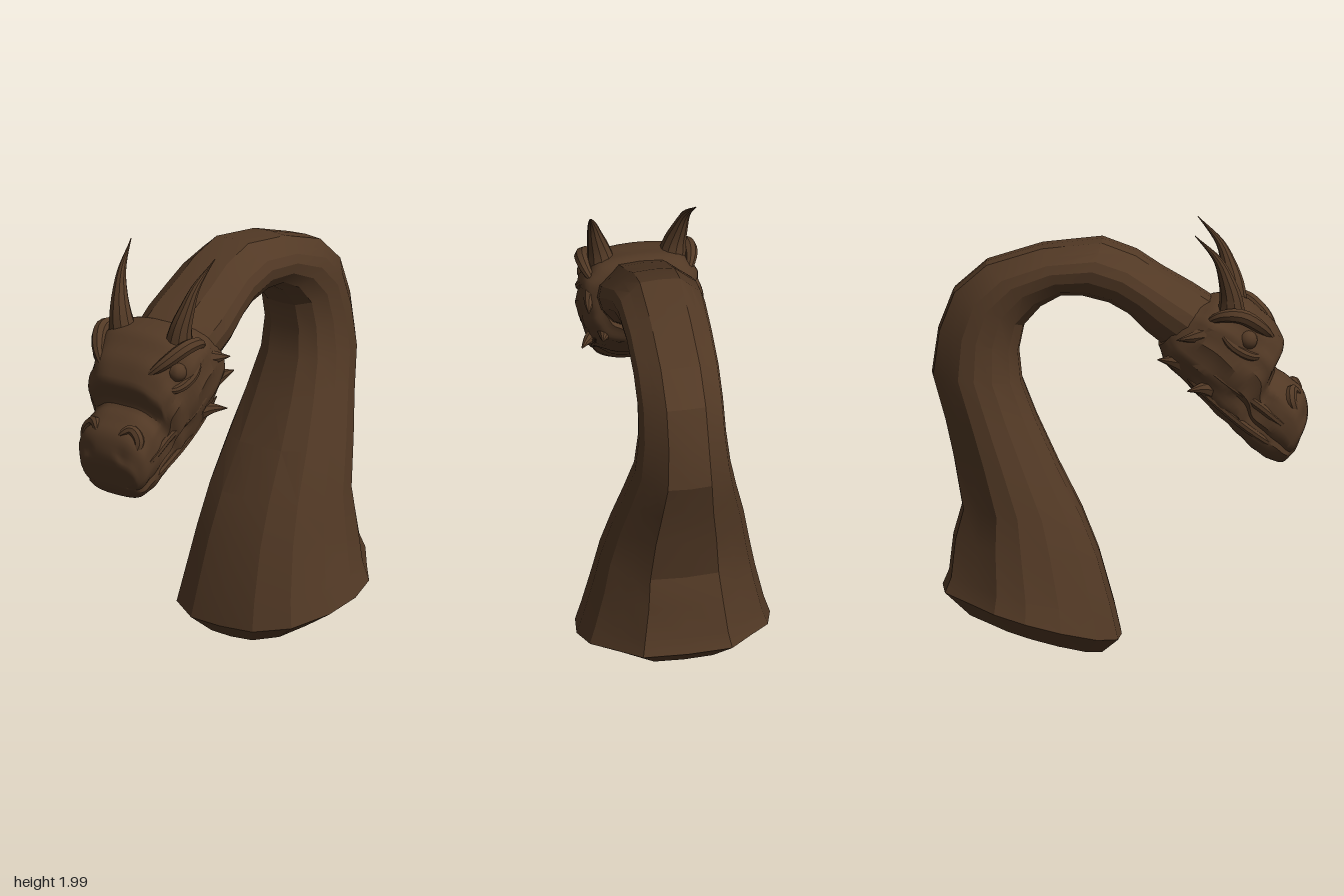
import * as THREE from 'three';
import { toCreasedNormals } from 'three/addons/utils/BufferGeometryUtils.js';

const hide = new THREE.MeshStandardMaterial({ color: 0x523925 });
hide.name = 'brown hide';

// Section rows: [inner z, inner y, outer z, outer y, half width]
const NECK = [
  [-0.07, 0.01, -0.70, 0.19, 0.30], [0.01, 0.08, -0.82, 0.31, 0.455], [-0.02, 0.21, -0.79, 0.38, 0.425],
  [-0.09, 0.46, -0.77, 0.55, 0.38], [-0.17, 0.66, -0.73, 0.69, 0.35], [-0.28, 0.88, -0.77, 0.92, 0.31],
  [-0.38, 1.10, -0.81, 1.10, 0.265], [-0.45, 1.28, -0.87, 1.31, 0.225], [-0.465, 1.42, -0.84, 1.52, 0.205],
  [-0.44, 1.54, -0.77, 1.70, 0.20], [-0.36, 1.63, -0.62, 1.83, 0.20], [-0.27, 1.68, -0.36, 1.91, 0.20],
  [-0.17, 1.68, -0.08, 1.94, 0.205], [-0.05, 1.65, 0.08, 1.88, 0.21], [0.04, 1.60, 0.20, 1.80, 0.22],
  [0.12, 1.52, 0.34, 1.72, 0.23], [0.22, 1.44, 0.45, 1.65, 0.22],
];
const HEAD = [
  [0.18, 1.45, 0.38, 1.66, 0.20], [0.21, 1.37, 0.48, 1.67, 0.26], [0.32, 1.26, 0.60, 1.64, 0.285],
  [0.42, 1.15, 0.70, 1.55, 0.275], [0.50, 1.08, 0.76, 1.45, 0.245], [0.56, 1.02, 0.72, 1.33, 0.21],
  [0.62, 0.96, 0.79, 1.28, 0.205], [0.68, 0.92, 0.86, 1.20, 0.195], [0.75, 0.90, 0.87, 1.10, 0.165],
  [0.81, 0.95, 0.84, 1.02, 0.10],
];
// Half outlines [across, inner to outer]; the neck has a raised flat ridge along its back
const NECK_HALF = [[0, -1], [0.4, -0.97], [0.75, -0.75], [0.95, -0.35], [1, 0.05], [0.92, 0.4], [0.7, 0.66], [0.46, 0.96], [0, 1]];
const HEAD_HALF = Array.from({ length: 25 }, (_, i) => {
  const a = (i / 24) * Math.PI, p = (n) => Math.sign(n) * Math.abs(n) ** 0.72;
  return [i % 24 ? p(Math.sin(a)) : 0, -p(Math.cos(a))];
});

// Smoothly resample the section rows
function resample(rows, n) {
  const curve = (a, b, c) => new THREE.CatmullRomCurve3(rows.map((r) => new THREE.Vector3(r[a], r[b], c < 0 ? 0 : r[c])));
  const inner = curve(0, 1, -1), outer = curve(2, 3, 4);
  return Array.from({ length: n + 1 }, (_, i) => {
    const p = inner.getPoint(i / n), q = outer.getPoint(i / n);
    return [p.x, p.y, q.x, q.y, q.z];
  });
}

// Skin a mirrored half outline over the rows; swell(t, u, v) scales each point from its centre
function loft(rows, half, swell = () => 1) {
  const ring = [...half, ...half.slice(1, -1).reverse().map(([u, v]) => [-u, v])];
  const n = ring.length, pos = [], index = [];
  rows.forEach(([zi, yi, zo, yo, w], i) => {
    for (const [u, v] of ring) {
      const s = swell(i / (rows.length - 1), Math.abs(u), v);
      pos.push(u * w * s, (yi + yo) / 2 + ((yo - yi) / 2) * v * s, (zi + zo) / 2 + ((zo - zi) / 2) * v * s);
    }
  });
  for (let i = 0; i < rows.length - 1; i++) {
    for (let j = 0; j < n; j++) {
      const a = i * n + j, b = i * n + ((j + 1) % n);
      index.push(a, b, a + n, b, b + n, a + n);
    }
  }
  const last = (rows.length - 1) * n, c = pos.length / 3;
  for (const [zi, yi, zo, yo] of [rows[0], rows[rows.length - 1]]) pos.push(0, (yi + yo) / 2, (zi + zo) / 2);
  for (let j = 0; j < n; j++) {
    const k = (j + 1) % n;
    index.push(c, k, j, c + 1, last + j, last + k);
  }
  const g = new THREE.BufferGeometry();
  g.setAttribute('position', new THREE.Float32BufferAttribute(pos, 3));
  g.setIndex(index);
  g.computeVertexNormals();
  return g;
}

// Tube along points with a radius that varies from start to end
function taper(points, radius, sides = 8, steps = 14) {
  const curve = new THREE.CatmullRomCurve3(points.map((p) => new THREE.Vector3(...p)));
  const g = new THREE.TubeGeometry(curve, steps, 1, sides);
  const pos = g.attributes.position, p = new THREE.Vector3();
  for (let i = 0; i < pos.count; i++) {
    const t = Math.floor(i / (sides + 1)) / steps, c = curve.getPointAt(t);
    p.fromBufferAttribute(pos, i).sub(c).multiplyScalar(radius(t)).add(c);
    pos.setXYZ(i, p.x, p.y, p.z);
  }
  g.computeVertexNormals();
  return g;
}

export function createModel() {
  const model = new THREE.Group();
  const add = (name, geometry, crease = 0.5) => {
    const mesh = new THREE.Mesh(toCreasedNormals(geometry, crease), hide);
    mesh.name = name;
    model.add(mesh);
    return mesh;
  };
  const bump = (x, c, w) => Math.exp(-(((x - c) / w) ** 2));

  add('neck', loft(NECK, NECK_HALF), 0.35);

  // Head with eye sockets, mouth slit, nostrils and wrinkled cheeks
  add('head', loft(resample(HEAD, 45), HEAD_HALF, (t, u, v) => {
    const side = Math.min(1, u * 1.3);
    return 1 - 0.1 * bump(t, 0.33, 0.09) * bump(v, 0.5, 0.22) * side
      - 0.1 * bump(v, -0.35, 0.1) * Math.min(1, t * 2) * side
      - 0.12 * bump(t, 0.84, 0.035) * bump(u, 0.6, 0.2) * (v > 0.5 ? 1 : 0)
      + 0.03 * Math.sin(v * 15 + Math.sin(t * 9) * 1.5) * side * bump(t, 0.35, 0.4)
      + 0.015 * Math.sin(t * 48 + v * 4) * (v > 0 ? 1 : 0.6);
  }), 0.6);

  for (const s of [1, -1]) {
    const label = s > 0 ? 'left' : 'right';
    const side = (name, pts, r, sides) => add(label + name, taper(pts.map(([x, y, z]) => [x * s, y, z]), r, sides));
    const ridge = (r) => (t) => 0.003 + r * Math.sin(Math.PI * t) ** 0.6;

    // Swept horn with a broad root
    side('Horn', [[0.165, 1.60, 0.52], [0.18, 1.69, 0.52], [0.20, 1.78, 0.50], [0.22, 1.88, 0.46], [0.25, 2.0, 0.355]],
      (t) => 0.002 + 0.068 * (1 - t) ** 1.25, 10);
    // Brow, lower lid and lips
    side('Brow', [[0.13, 1.49, 0.72], [0.20, 1.56, 0.66], [0.25, 1.62, 0.57], [0.25, 1.62, 0.48], [0.22, 1.58, 0.40]], ridge(0.032));
    side('LowerLid', [[0.19, 1.43, 0.69], [0.24, 1.43, 0.62], [0.265, 1.48, 0.53], [0.26, 1.55, 0.47]], ridge(0.02));
    side('UpperLip', [[0.10, 1.03, 0.84], [0.175, 1.09, 0.77], [0.205, 1.20, 0.64], [0.25, 1.30, 0.51], [0.26, 1.40, 0.38]], ridge(0.02));
    side('LowerLip', [[0.08, 0.96, 0.80], [0.155, 0.99, 0.73], [0.19, 1.08, 0.60], [0.22, 1.20, 0.46], [0.23, 1.32, 0.32]], ridge(0.018));
    // Nostril rim
    side('NostrilRim', [[0.06, 1.22, 0.84], [0.11, 1.25, 0.80], [0.155, 1.20, 0.80], [0.14, 1.13, 0.83]], ridge(0.026));
    // Cheek spikes behind the jaw
    side('CheekSpike', [[0.21, 1.27, 0.42], [0.25, 1.28, 0.38], [0.295, 1.275, 0.32]], (t) => 0.002 + 0.042 * (1 - t));
    side('JawSpike', [[0.17, 1.38, 0.32], [0.20, 1.40, 0.25], [0.22, 1.41, 0.18]], (t) => 0.002 + 0.06 * (1 - t));
    side('EarSpike', [[0.22, 1.53, 0.42], [0.255, 1.52, 0.34], [0.27, 1.51, 0.27]], (t) => 0.002 + 0.05 * (1 - t));

    const eye = add(label + 'Eye', new THREE.SphereGeometry(0.045, 14, 10), 1);
    eye.position.set(0.222 * s, 1.505, 0.60);
  }
  return model;
}
